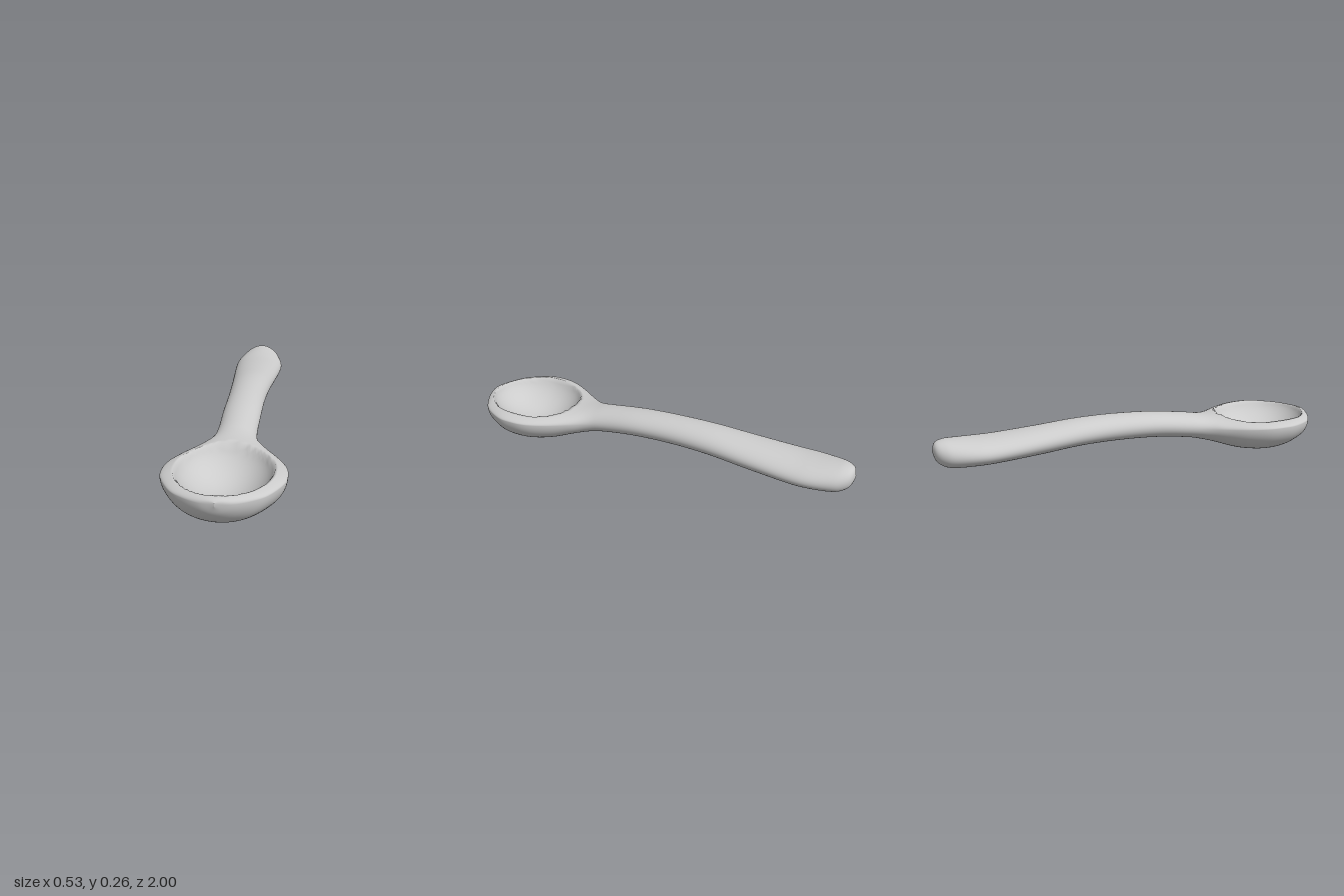
import * as THREE from 'three';

// Stations along the spoon: z, half width, height of widest line, bottom, top
const STATIONS = [
  [-1.0, 0, 0.18, 0.175, 0.185],
  [-0.985, 0.05, 0.175, 0.13, 0.217],
  [-0.95, 0.085, 0.165, 0.102, 0.229],
  [-0.9, 0.108, 0.16, 0.092, 0.229],
  [-0.8, 0.13, 0.158, 0.093, 0.225],
  [-0.7, 0.131, 0.16, 0.097, 0.226],
  [-0.5, 0.118, 0.175, 0.11, 0.24],
  [-0.3, 0.104, 0.19, 0.127, 0.257],
  [-0.1, 0.095, 0.195, 0.13, 0.26],
  [0.1, 0.094, 0.188, 0.122, 0.25],
  [0.28, 0.094, 0.165, 0.1, 0.228],
  [0.37, 0.108, 0.155, 0.08, 0.213],
  [0.45, 0.152, 0.155, 0.056, 0.205],
  [0.55, 0.215, 0.16, 0.022, 0.204],
  [0.64, 0.256, 0.165, 0.005, 0.206],
  [0.72, 0.267, 0.168, 0, 0.209],
  [0.8, 0.256, 0.168, 0.009, 0.209],
  [0.9, 0.2, 0.166, 0.036, 0.2],
  [0.95, 0.14, 0.165, 0.07, 0.194],
  [0.985, 0.07, 0.165, 0.115, 0.187],
  [1.0, 0, 0.168, 0.16, 0.176],
];
const AROUND = 96, STEPS = 6;

// Depth of the scooped hollow below the upper surface
function hollow(x, z) {
  const r2 = (x / 0.21) ** 2 + ((z - 0.722) / 0.242) ** 2;
  return r2 < 1 ? 0.15 * Math.pow(1 - r2, 0.72) : 0;
}

function spoonGeometry() {
  const curve = (f) => new THREE.CatmullRomCurve3(STATIONS.map(f), false, 'catmullrom', 0.5);
  const plan = curve((s) => new THREE.Vector3(s[0], s[1], s[2]));
  const side = curve((s) => new THREE.Vector3(s[0], s[3], s[4]));
  const rings = (STATIONS.length - 1) * STEPS;
  const pos = [], idx = [];
  for (let i = 0; i <= rings; i++) {
    const { x: z, y: w, z: mid } = plan.getPoint(i / rings);
    const { y: bottom, z: top } = side.getPoint(i / rings);
    for (let j = 0; j < AROUND; j++) {
      const a = (j / AROUND) * Math.PI * 2;
      const x = Math.max(w, 0.0005) * Math.cos(a), s = Math.sin(a);
      const y = s > 0 ? mid + (top - mid) * s - hollow(x, z) : mid + (mid - bottom) * s;
      pos.push(x, Math.max(y, 0), z);
      if (i < rings) {
        const k = (j + 1) % AROUND, p = i * AROUND, q = p + AROUND;
        idx.push(p + j, p + k, q + k, p + j, q + k, q + j);
      }
    }
  }
  const g = new THREE.BufferGeometry();
  g.setAttribute('position', new THREE.Float32BufferAttribute(pos, 3));
  g.setIndex(idx);
  g.computeVertexNormals();
  return g;
}

export function createModel() {
  const group = new THREE.Group();
  group.name = 'spoon';
  // Handle and bowl flow into each other as one continuous skin
  const mesh = new THREE.Mesh(
    spoonGeometry(),
    new THREE.MeshStandardMaterial({ color: 0xcccccc, side: THREE.DoubleSide })
  );
  mesh.name = 'handleAndBowl';
  group.add(mesh);
  return group;
}
